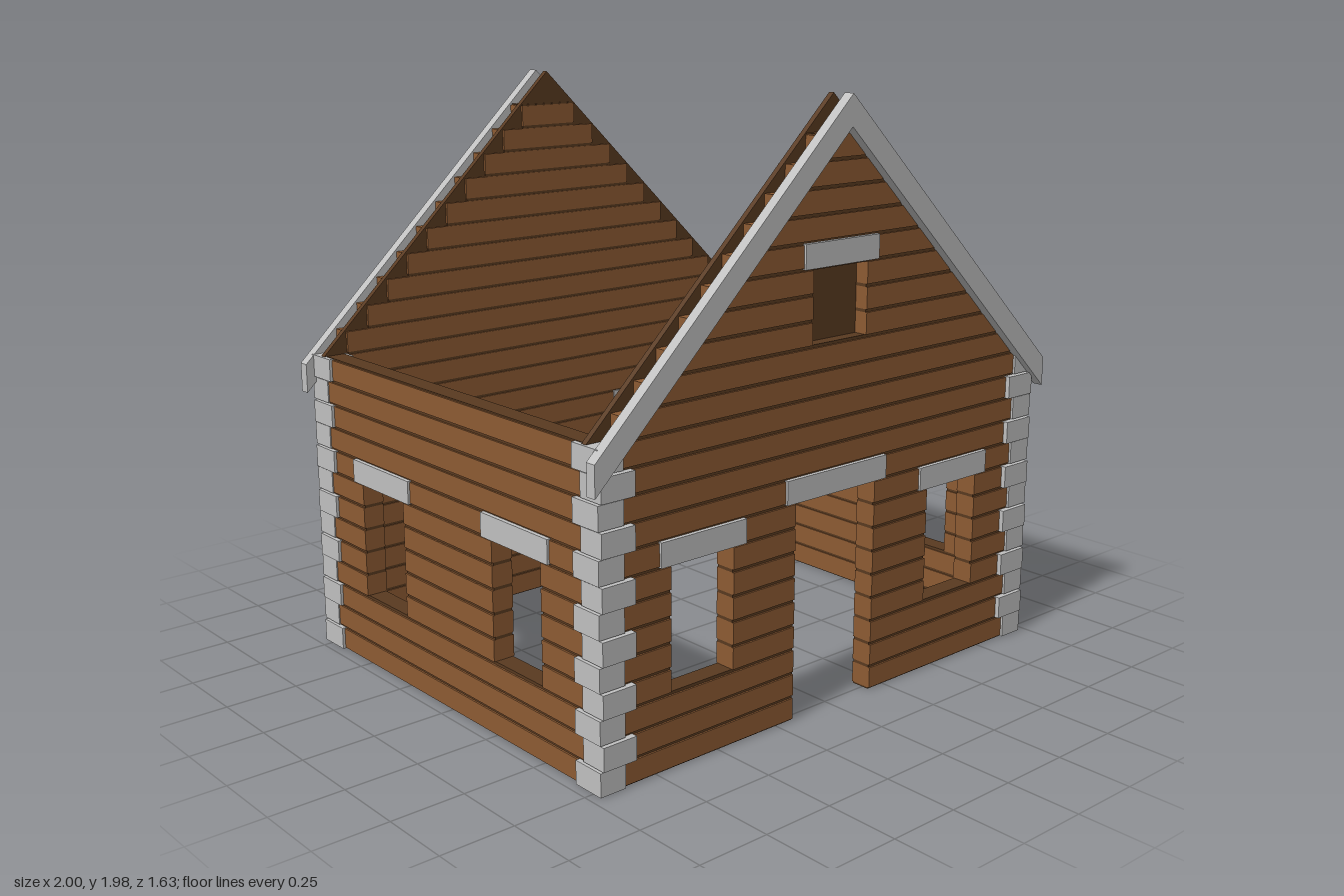
import * as THREE from 'three';

const wood = new THREE.MeshStandardMaterial({ color: 0x8d5b33 });
wood.name = 'log brown';
const dark = new THREE.MeshStandardMaterial({ color: 0x593a20 });
dark.name = 'dark brown';
const stone = new THREE.MeshStandardMaterial({ color: 0xc0c0c0 });
stone.name = 'light grey';

const STEP = 0.081;          // height of one log course
const WALL_ROWS = 13;        // courses up to the eaves
const GABLE_ROWS = 23;       // courses up to the ridge
const APEX = 1.98, SLOPE = 0.96;

// Box given by its two opposite corners
function box(parent, name, mat, x0, x1, y0, y1, z0, z1) {
  const mesh = new THREE.Mesh(new THREE.BoxGeometry(x1 - x0, y1 - y0, z1 - z0), mat);
  mesh.position.set((x0 + x1) / 2, (y0 + y1) / 2, (z0 + z1) / 2);
  mesh.name = name;
  parent.add(mesh);
}

// Pieces of [-half, half] left between the given cuts
function pieces(half, cuts) {
  const out = [];
  let start = -half;
  for (const [a, b] of [...cuts].sort((p, q) => p[0] - q[0])) {
    out.push([start, a]);
    start = b;
  }
  out.push([start, half]);
  return out;
}

// Opening: centre, half width, first log row, row of the lintel, lintel half width
const opening = (c, w, from, to, lintel) => ({ c, w, from, to, lintel });
const pair = (c) => [-c, c].map((x) => opening(x, 0.125, 3, 8, 0.17));

// One log wall, facing local +z
function buildWall(name, { half, inner, outer, openings, gable }) {
  const wall = new THREE.Group();
  wall.name = name;
  const rows = gable ? GABLE_ROWS : WALL_ROWS;
  const halfAt = (i) => (i < WALL_ROWS ? half : (APEX - 0.004 - (i + 1) * STEP) / SLOPE);

  for (let i = 0; i < rows; i++) {
    // Log course, interrupted by openings and lintels
    const cuts = [];
    for (const o of openings) {
      if (i >= o.from && i < o.to) cuts.push([o.c - o.w, o.c + o.w]);
      if (i === o.to) cuts.push([o.c - o.lintel, o.c + o.lintel]);
    }
    const y0 = i * STEP + 0.005, y1 = (i + 1) * STEP - 0.005;
    for (const [a, b] of pieces(halfAt(i), cuts)) box(wall, 'log', wood, a, b, y0, y1, inner, outer);
  }
  for (let i = 0; i <= rows; i++) {
    // Dark joint between two courses
    const cuts = openings
      .filter((o) => (i > o.from || o.from === 0) && i < o.to)
      .map((o) => [o.c - o.w, o.c + o.w]);
    const y0 = Math.max(0, i * STEP - 0.005);
    const y1 = i === rows ? i * STEP : i * STEP + 0.005;
    const w = halfAt(Math.min(i, rows - 1)) - 0.003;
    for (const [a, b] of pieces(w, cuts)) {
      box(wall, 'joint', dark, a, b, y0, y1, inner + 0.004, outer - 0.006);
    }
  }
  for (const o of openings) {
    box(wall, 'lintel', stone, o.c - o.lintel, o.c + o.lintel,
      o.to * STEP + 0.001, (o.to + 1) * STEP - 0.001, inner - 0.003, outer + 0.008);
  }

  if (gable) {
    // Dark triangular board inside the gable logs
    const base = WALL_ROWS * STEP;
    const w = (APEX - base) / SLOPE;
    const tri = new THREE.Shape([
      new THREE.Vector2(-w, base), new THREE.Vector2(w, base), new THREE.Vector2(0, APEX - 0.002),
    ]);
    const board = new THREE.Mesh(
      new THREE.ExtrudeGeometry(tri, { depth: 0.02, bevelEnabled: false }), dark);
    board.position.z = 0.712;
    board.name = 'gableBoard';
    wall.add(board);

    // Sloping barge boards
    const chevron = new THREE.Shape([
      new THREE.Vector2(-1, APEX - SLOPE - 0.1), new THREE.Vector2(0, APEX - 0.1),
      new THREE.Vector2(1, APEX - SLOPE - 0.1), new THREE.Vector2(1, APEX - SLOPE),
      new THREE.Vector2(0, APEX), new THREE.Vector2(-1, APEX - SLOPE),
    ]);
    const trim = new THREE.Mesh(
      new THREE.ExtrudeGeometry(chevron, { depth: 0.037, bevelEnabled: false }), stone);
    trim.position.z = 0.777;
    trim.name = 'bargeBoard';
    wall.add(trim);
  }
  return wall;
}

export function createModel() {
  const house = new THREE.Group();
  house.name = 'logHouse';

  const gableWall = { half: 0.9, inner: 0.704, outer: 0.78, gable: true };
  const front = buildWall('frontWall', {
    ...gableWall,
    openings: [
      opening(0, 0.18, 0, 9, 0.225),      // door
      ...pair(0.567),                     // windows
      opening(0, 0.12, 15, 18, 0.163),    // blind attic window
    ],
  });
  const back = buildWall('backWall', { ...gableWall, openings: pair(0.465) });
  back.rotation.y = Math.PI;
  house.add(front, back);

  for (const side of [1, -1]) {
    const wall = buildWall(side > 0 ? 'leftWall' : 'rightWall', {
      half: 0.715, inner: 0.884, outer: 0.96, openings: pair(0.375),
    });
    wall.rotation.y = side * Math.PI / 2;
    house.add(wall);
  }

  // Alternating corner blocks
  for (const sx of [1, -1]) for (const sz of [1, -1]) {
    const corner = new THREE.Group();
    corner.name = 'cornerBlocks';
    for (let i = 0; i < WALL_ROWS; i++) {
      const [x0, x1, z0, z1] = i % 2 ? [0.84, 0.964, 0.7, 0.796] : [0.876, 0.97, 0.67, 0.788];
      const xs = [sx * x0, sx * x1].sort((a, b) => a - b);
      const zs = [sz * z0, sz * z1].sort((a, b) => a - b);
      box(corner, 'cornerBlock', stone, ...xs, i * STEP + 0.002, (i + 1) * STEP - 0.002, ...zs);
    }
    house.add(corner);
  }
  return house;
}
